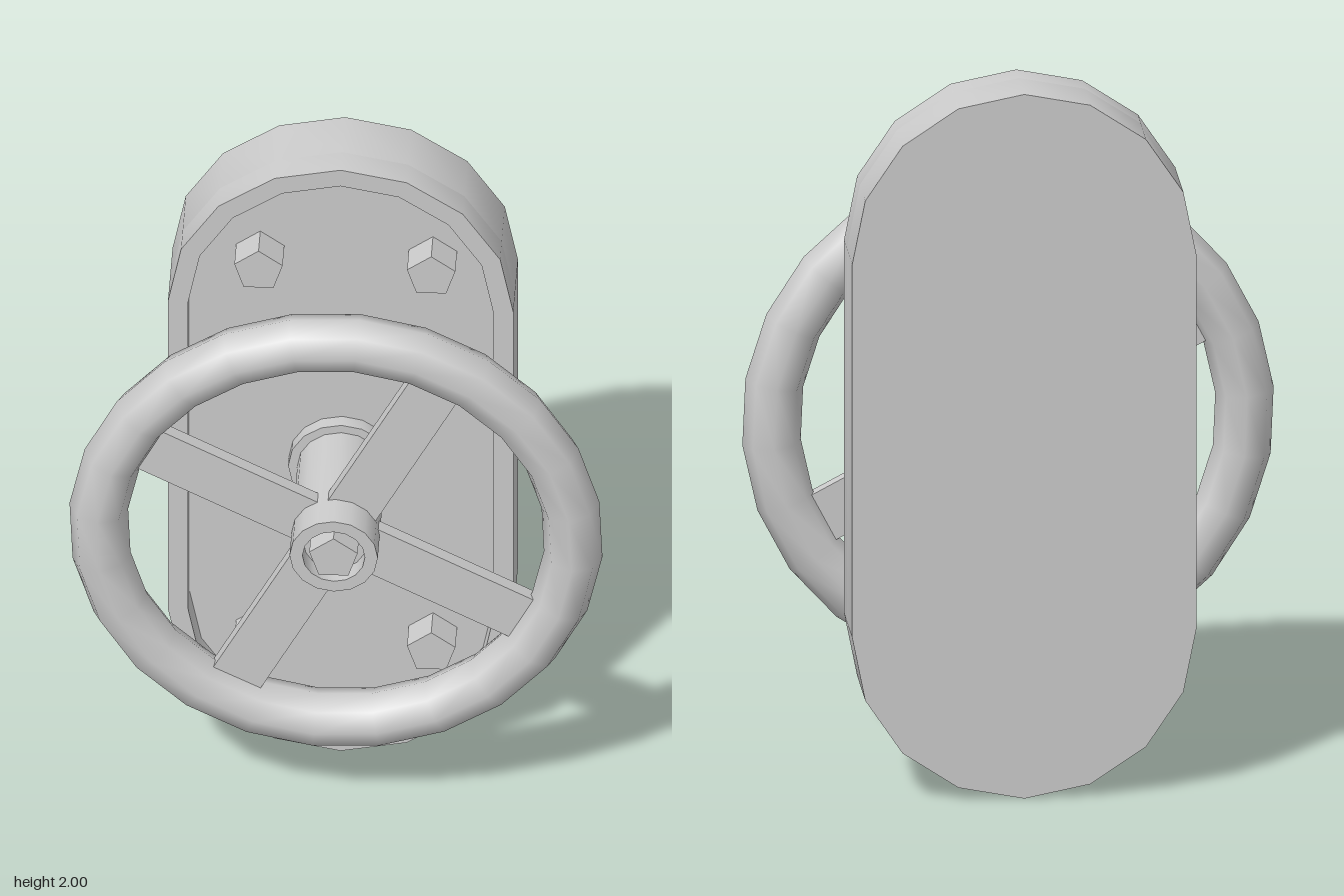
import * as THREE from 'three';
import { toCreasedNormals } from 'three/addons/utils/BufferGeometryUtils.js';

const grey = new THREE.MeshStandardMaterial({ color: 0xcccccc });
const flat = new THREE.MeshStandardMaterial({ color: 0xcccccc, flatShading: true });

const AXIS_Y = 0.945;   // height of the wheel axis
const FLOOR_Z = -0.145; // floor of the recessed plate

// Upright stadium outline with eight facets on each rounded end
function stadium(r, Type = THREE.Shape) {
  const pts = [];
  for (const [cy, start] of [[1.53, 0], [0.47, Math.PI]]) {
    for (let i = 0; i <= 8; i++) {
      const a = start + (i / 8) * Math.PI;
      pts.push(new THREE.Vector2(r * Math.cos(a), cy + r * Math.sin(a)));
    }
  }
  return new Type(pts);
}

function extrude(shape, z0, z1) {
  const g = new THREE.ExtrudeGeometry(shape, { depth: z1 - z0, bevelEnabled: false });
  g.translate(0, 0, z0);
  return toCreasedNormals(g, 0.6);
}

function add(parent, name, geometry, material = grey) {
  const mesh = new THREE.Mesh(geometry, material);
  mesh.name = name;
  parent.add(mesh);
  return mesh;
}

// Five-sided bolt head pointing to +z with one corner up
function boltHead(z0, z1) {
  const g = new THREE.CylinderGeometry(0.069, 0.069, z1 - z0, 5);
  g.rotateX(Math.PI / 2).rotateZ(Math.PI).translate(0, 0, (z0 + z1) / 2);
  return g;
}

export function createModel() {
  const model = new THREE.Group();
  model.name = 'valveWheel';

  // Wall plate: solid back and raised rim around a recess
  const plate = new THREE.Group();
  plate.name = 'wallPlate';
  model.add(plate);
  add(plate, 'plateBack', extrude(stadium(0.47), -0.3, FLOOR_Z));
  const rim = stadium(0.47);
  rim.holes.push(stadium(0.415, THREE.Path));
  add(plate, 'plateRim', extrude(rim, FLOOR_Z, -0.065));

  // Plate bolts
  for (const x of [-0.223, 0.247]) {
    for (const y of [0.355, 1.65]) {
      add(plate, 'plateBolt', boltHead(FLOOR_Z - 0.01, -0.056), flat).position.set(x, y, 0);
    }
  }

  const wheel = new THREE.Group();
  wheel.name = 'handWheel';
  wheel.position.y = AXIS_Y;
  model.add(wheel);

  // Shaft with a base flange and a hollow front end
  const profile = [
    [0.145, FLOOR_Z], [0.145, -0.105], [0.12, -0.105], [0.12, 0.29],
    [0.085, 0.29], [0.085, 0.235], [0, 0.235],
  ].map(([r, y]) => new THREE.Vector2(r, y));
  const shaft = new THREE.LatheGeometry(profile, 16);
  shaft.rotateX(Math.PI / 2);
  add(wheel, 'shaft', toCreasedNormals(shaft, 0.6));
  add(wheel, 'hubBolt', boltHead(0.23, 0.3), flat);

  // Rim ring
  const ring = new THREE.TorusGeometry(0.648, 0.08, 8, 24);
  ring.rotateZ(THREE.MathUtils.degToRad(-5)).translate(0, 0, 0.171);
  add(wheel, 'wheelRing', ring);

  // Four flat spokes
  for (let i = 0; i < 4; i++) {
    const spoke = new THREE.BoxGeometry(0.52, 0.145, 0.04);
    spoke.translate(0.35, 0, 0.171);
    add(wheel, 'spoke', spoke).rotation.z = THREE.MathUtils.degToRad(62 + i * 90);
  }

  return model;
}
